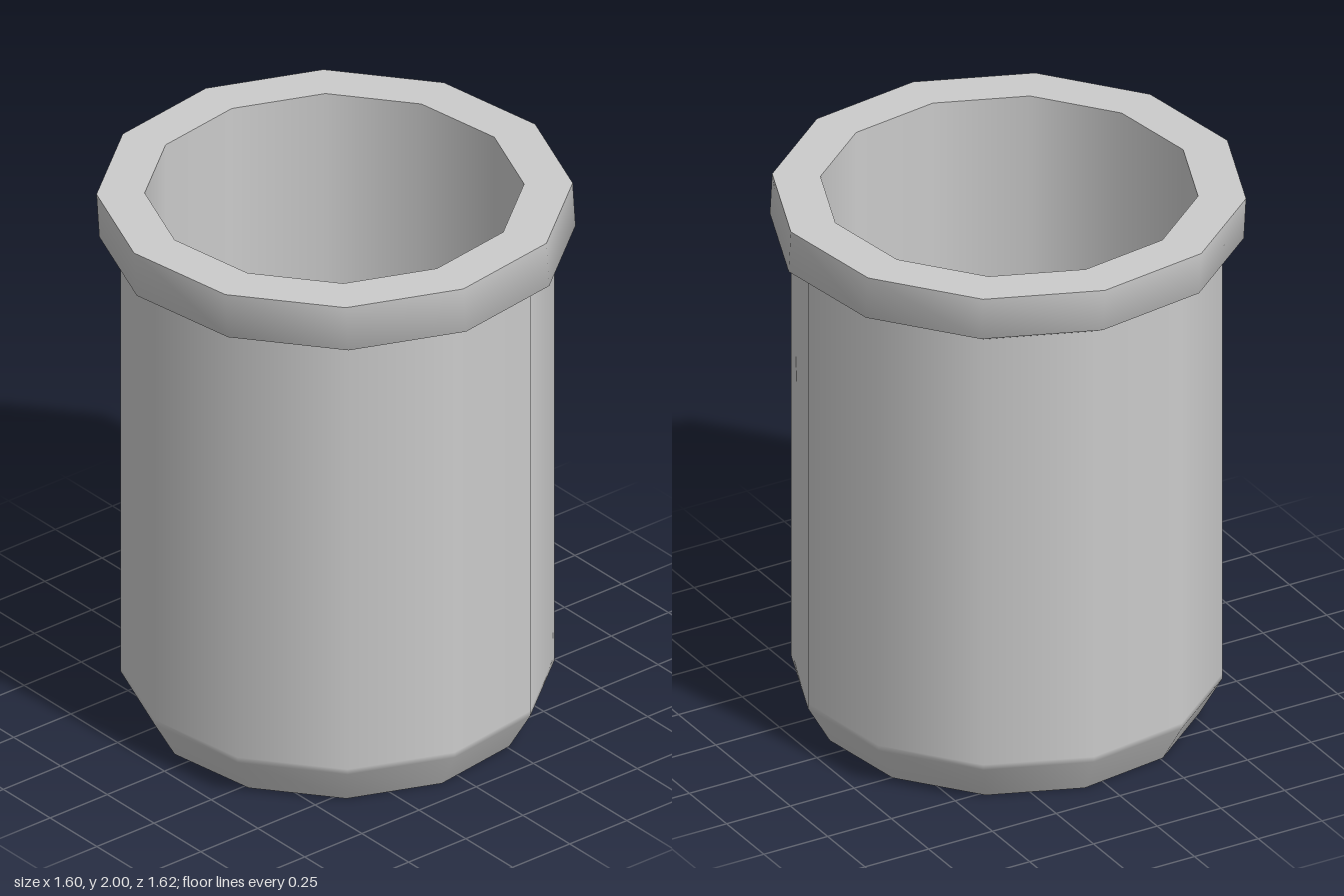
import * as THREE from 'three';

const SIDES = 12;
const START = -0.115; // turn of the twelve-sided outline

export function createModel() {
  const group = new THREE.Group();
  group.name = 'cup';
  const material = new THREE.MeshStandardMaterial({ color: 0xcccccc });

  // Turns a profile of [radius, height, z offset] into a twelve-sided surface
  function addTurned(name, profile) {
    const points = profile.map(([r, y]) => new THREE.Vector2(r, y));
    const geometry = new THREE.LatheGeometry(points, SIDES, START);
    const position = geometry.attributes.position;
    for (let i = 0; i < position.count; i++) {
      const offset = profile[i % profile.length][2];
      position.setZ(i, position.getZ(i) + offset);
    }
    const mesh = new THREE.Mesh(geometry, material);
    mesh.name = name;
    group.add(mesh);
  }

  // Flat underside
  addTurned('base', [[0, 0, 0.008], [0.655, 0, 0.008]]);

  // Bevelled foot running into the straight wall
  addTurned('outerWall', [
    [0.655, 0, 0.008], [0.735, 0.14, 0.008],
    [0.735, 0.16, 0.008], [0.735, 1.8, 0.008],
  ]);

  // Flared underside and band of the collar
  addTurned('collar', [[0.735, 1.8, 0.008], [0.807, 1.84, 0.008], [0.807, 2, -0.007]]);

  // Flat lip around the opening
  addTurned('lip', [[0.807, 2, -0.007], [0.643, 2, -0.008]]);

  // Hollow inside
  addTurned('innerWall', [[0.643, 2, -0.008], [0.643, 0.12, -0.008]]);
  addTurned('innerFloor', [[0.643, 0.12, -0.008], [0, 0.12, -0.008]]);

  return group;
}
